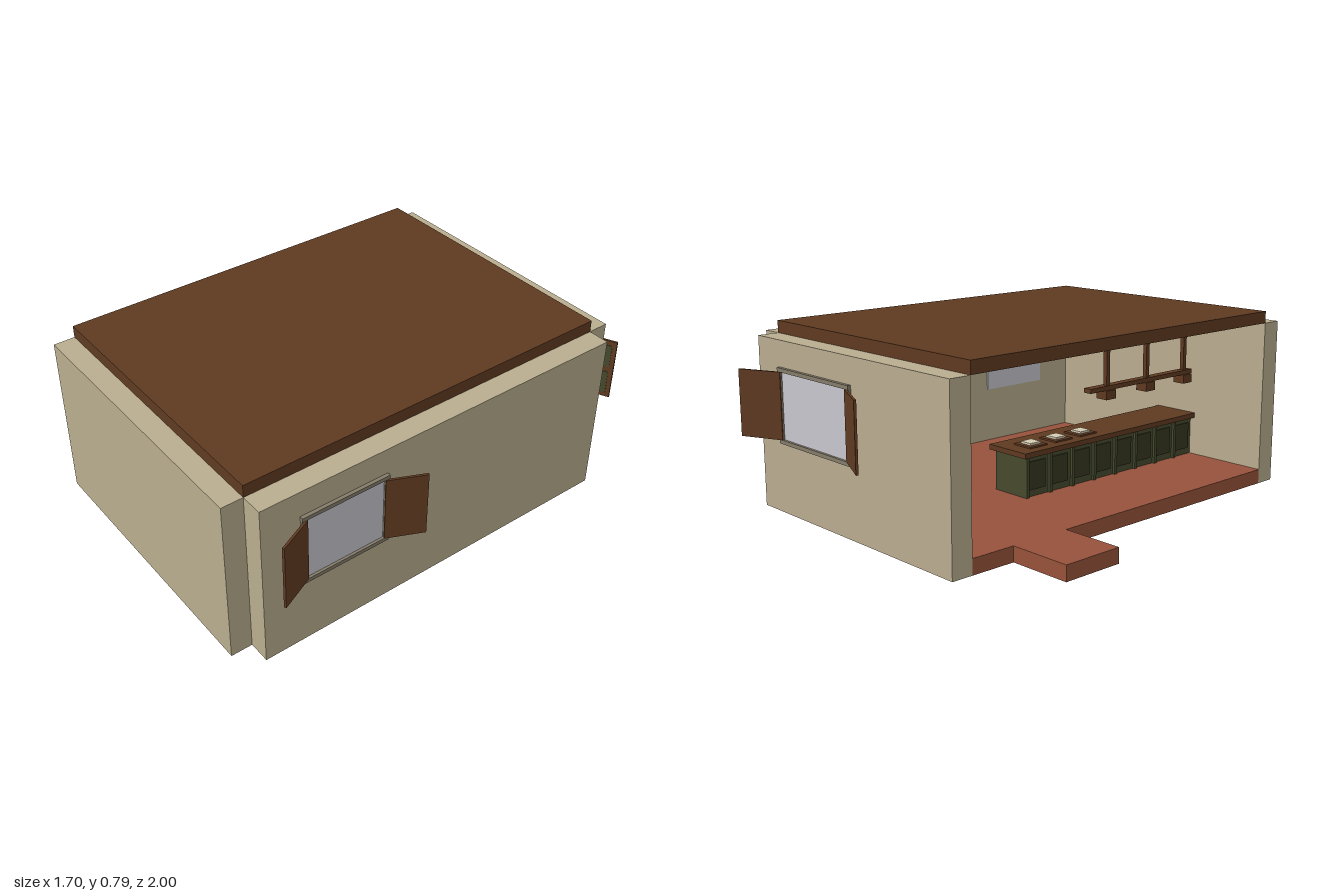
import * as THREE from 'three';

const mat = (name, color) => {
  const m = new THREE.MeshStandardMaterial({ color });
  m.name = name;
  return m;
};

export function createModel() {
  const plaster = mat('plaster', 0xb9ad8f);
  const wood = mat('dark wood', 0x5f3a21);
  const clay = mat('terracotta', 0x96523b);
  const green = mat('olive paint', 0x464a2d);
  const darkGreen = mat('dark olive paint', 0x35381f);
  const stone = mat('window frame grey', 0x857c6a);
  const glass = mat('pale glass', 0xc6c6cd);
  const cream = mat('cream', 0xd6ccb2);

  const model = new THREE.Group();
  model.name = 'openRoom';

  // Box given by its minimum and maximum on each axis
  function box(parent, name, material, [x0, x1], [y0, y1], [z0, z1]) {
    const mesh = new THREE.Mesh(new THREE.BoxGeometry(x1 - x0, y1 - y0, z1 - z0), material);
    mesh.position.set((x0 + x1) / 2, (y0 + y1) / 2, (z0 + z1) / 2);
    mesh.name = name;
    parent.add(mesh);
    return mesh;
  }

  // Shell: three walls, floor with doorstep, flat roof; the -x side is open
  const X = [-0.575, 0.672], Z = [-0.805, 0.907], wallY = [0, 0.737];
  box(model, 'frontWall', plaster, X, wallY, [Z[1], 1]);
  box(model, 'backWall', plaster, X, wallY, [-0.9, Z[0]]);
  box(model, 'sideWall', plaster, [X[1], 0.767], wallY, Z);
  box(model, 'floor', clay, X, [0, 0.065], Z);
  box(model, 'doorstep', clay, [-0.852, X[0]], [0, 0.065], [-0.605, -0.33]);
  box(model, 'roof', wood, X, [0.737, 0.79], Z);

  // Window with open shutters, built facing +z around the wall surface
  function makeWindow(name, half, shutterWidth, x, z, turn) {
    const g = new THREE.Group();
    g.name = name;
    const hinge = half - 0.02, h = 0.16;
    box(g, 'glass', glass, [-hinge, hinge], [-h + 0.017, h - 0.017], [-0.1, 0.004]);
    for (const s of [-1, 1]) {
      const rail = [s * h, s * (h - 0.017)].sort((a, b) => a - b);
      const post = [s * half, s * hinge].sort((a, b) => a - b);
      box(g, 'frameRail', stone, [-half, half], rail, [0, 0.015]);
      box(g, 'framePost', stone, post, [-h + 0.017, h - 0.017], [0, 0.01]);

      const shutter = new THREE.Group();
      shutter.name = 'shutter';
      shutter.position.set(s * hinge, 0, 0.012);
      shutter.rotation.y = -s * 0.43;
      const span = (a, b) => [s * a, s * b].sort((p, q) => p - q);
      box(shutter, 'shutterBoard', wood, span(0, shutterWidth), [-0.143, 0.143], [-0.005, 0.005]);
      // Painted panels on the face turned to the wall
      for (const y of [-0.067, 0.067]) {
        box(shutter, 'shutterPanel', green, span(0.02, shutterWidth - 0.02),
          [y - 0.053, y + 0.053], [-0.007, -0.004]);
      }
      g.add(shutter);
    }
    g.position.set(x, 0.465, z);
    g.rotation.y = turn;
    model.add(g);
  }
  makeWindow('sideWindow', 0.198, 0.165, 0.767, 0.54, Math.PI / 2);
  makeWindow('backWindow', 0.25, 0.2, 0.264, -0.9, Math.PI);

  // Counter running to the front wall, with panelled face
  const counter = new THREE.Group();
  counter.name = 'counter';
  const c0 = -0.17, c1 = Z[1], bays = 8;
  box(counter, 'counterBody', green, [-0.17, 0.01], [0.065, 0.242], [c0, c1]);
  box(counter, 'counterTop', wood, [-0.195, 0.03], [0.242, 0.265], [c0 - 0.02, c1]);
  const step = (c1 - c0) / bays;
  for (let i = 0; i < bays; i++) {
    const z = c0 + i * step;
    box(counter, 'counterPanel', darkGreen, [-0.176, -0.17], [0.095, 0.218], [z + 0.02, z + step - 0.02]);
    box(counter, 'counterStile', green, [-0.182, -0.17], [0.065, 0.242], [z, z + 0.016]);
  }
  model.add(counter);

  // Trays with small servings on the counter
  [-0.07, 0.08, 0.23].forEach((z) => {
    box(model, 'tray', wood, [-0.15, -0.05], [0.265, 0.272], [z - 0.05, z + 0.05]);
    box(model, 'serving', cream, [-0.13, -0.07], [0.272, 0.281], [z - 0.03, z + 0.03]);
  });

  // Hanging rack above the counter
  box(model, 'rackRail', wood, [-0.19, -0.15], [0.46, 0.48], [0.2, 0.88]);
  for (let i = 0; i < 3; i++) {
    const z = 0.32 + i * 0.26;
    box(model, 'rackPost', wood, [-0.18, -0.16], [0.48, 0.737], [z - 0.01, z + 0.01]);
    box(model, 'rackBlock', wood, [-0.2, -0.14], [0.42, 0.46], [z - 0.03, z + 0.03]);
  }

  return model;
}
